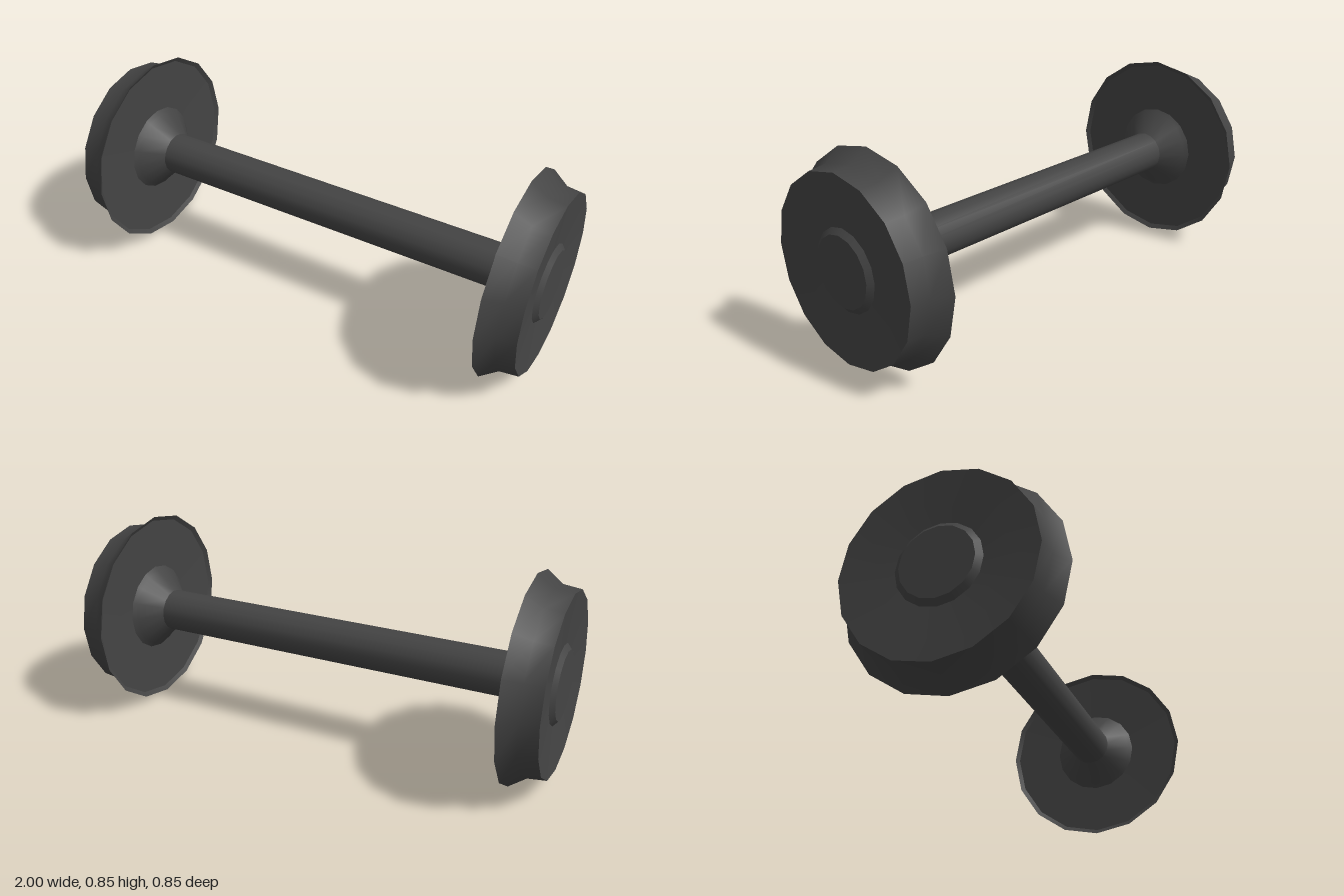
import * as THREE from 'three';

const SIDES = 16;
const AXLE_Y = 0.424;
const metal = new THREE.MeshStandardMaterial({ color: 0x444444 });

// Surface of revolution; points are [distance along axle, radius]
function turned(name, points) {
  const profile = points.map(([along, radius]) => new THREE.Vector2(radius, along));
  const mesh = new THREE.Mesh(new THREE.LatheGeometry(profile, SIDES), metal);
  mesh.name = name;
  return mesh;
}

// One wheel, built along +y from the inner hub to the outer face;
// each band is its own surface so the edges between them stay sharp
function createWheel(name) {
  const wheel = new THREE.Group();
  wheel.name = name;
  wheel.add(
    turned('innerHubCone', [[0.78, 0.09], [0.86, 0.172], [0.875, 0.19]]),
    turned('innerWeb', [[0.875, 0.19], [0.87, 0.405]]),
    turned('innerRim', [[0.87, 0.405], [0.858, 0.424]]),
    turned('flangeAndTread', [[0.858, 0.424], [0.925, 0.376], [1.0, 0.367]]),
    turned('outerWeb', [[1.0, 0.367], [0.982, 0.161]]),
    turned('hubBevel', [[0.982, 0.161], [1.0, 0.139]]),
    turned('hubCap', [[1.0, 0.139], [1.0, 0]])
  );
  return wheel;
}

export function createModel() {
  const model = new THREE.Group();
  model.name = 'wheelset';

  // Axle shaft
  const axle = turned('axle', [[-0.79, 0.09], [0.79, 0.09]]);
  axle.rotation.z = -Math.PI / 2;
  axle.position.y = AXLE_Y;
  model.add(axle);

  // Matching wheels, turned to face outwards
  for (const [name, side] of [['leftWheel', 1], ['rightWheel', -1]]) {
    const wheel = createWheel(name);
    wheel.rotation.z = -side * Math.PI / 2;
    wheel.position.y = AXLE_Y;
    model.add(wheel);
  }
  return model;
}
